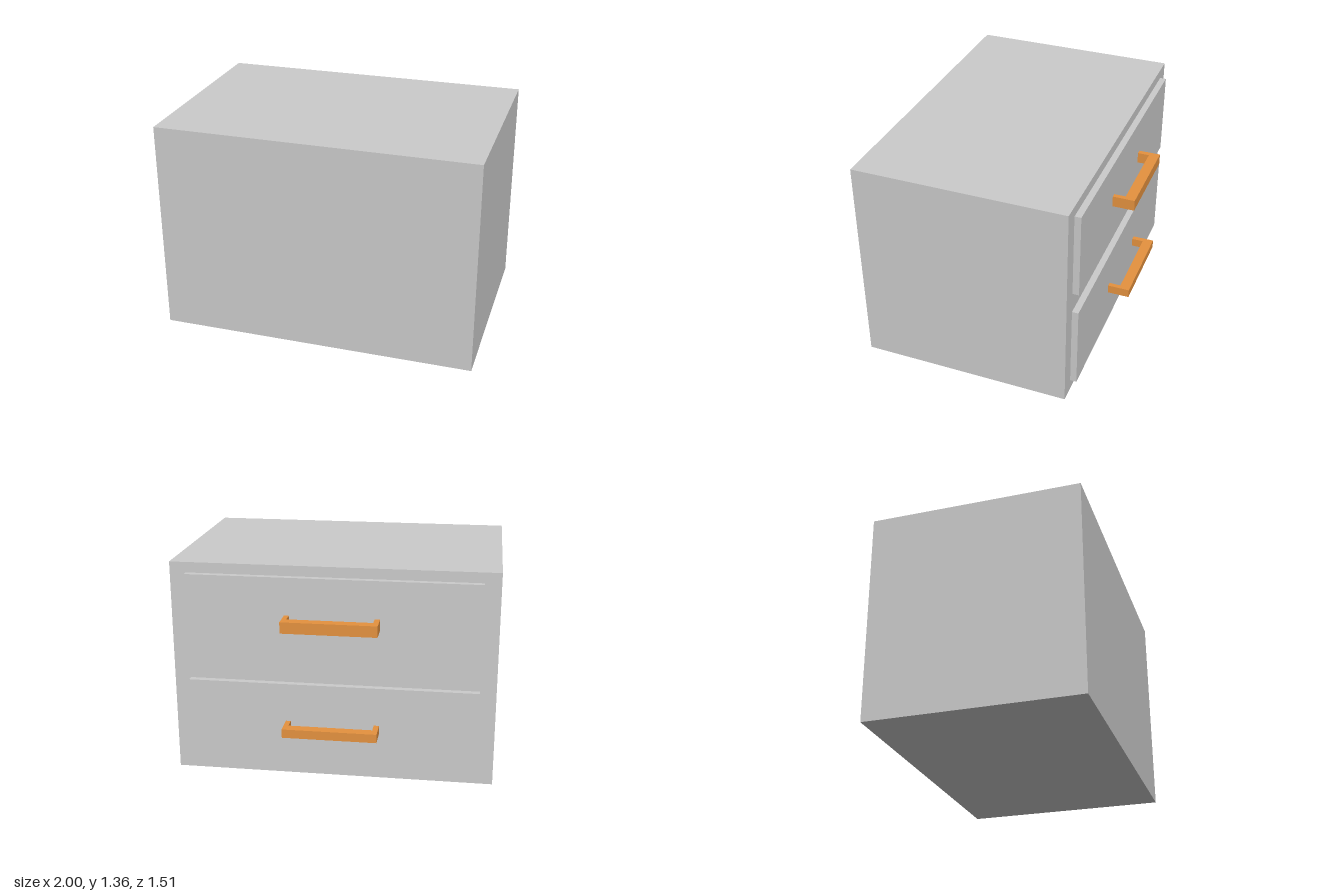
import * as THREE from 'three';

const grey = new THREE.MeshStandardMaterial({ color: 0xcccccc });
const wood = new THREE.MeshStandardMaterial({ color: 0xe5923f });

// Box given by its lower and upper corner
function block(name, [x0, y0, z0], [x1, y1, z1]) {
  const mesh = new THREE.Mesh(new THREE.BoxGeometry(x1 - x0, y1 - y0, z1 - z0), grey);
  mesh.position.set((x0 + x1) / 2, (y0 + y1) / 2, (z0 + z1) / 2);
  mesh.name = name;
  return mesh;
}

// U-shaped pull: outline in x and outward depth, extruded upwards
function pull(name, y, height, undersideMaterial) {
  const outline = [
    [-0.293, 0.617], [-0.26, 0.617], [-0.26, 0.69], [0.26, 0.69],
    [0.26, 0.617], [0.29, 0.617], [0.29, 0.755], [-0.293, 0.755],
  ];
  const shape = new THREE.Shape(outline.map(([x, d]) => new THREE.Vector2(x, d)));
  const geometry = new THREE.ExtrudeGeometry(shape, { depth: height, bevelEnabled: false });
  geometry.rotateX(-Math.PI / 2);

  // The first lid is the underside and has its own material
  const lid = geometry.groups[0].count / 2;
  geometry.clearGroups();
  geometry.addGroup(0, lid, 0);
  geometry.addGroup(lid, geometry.attributes.position.count - lid, 1);

  const mesh = new THREE.Mesh(geometry, [undersideMaterial, wood]);
  mesh.position.y = y;
  mesh.name = name;
  return mesh;
}

export function createModel() {
  const model = new THREE.Group();
  model.name = 'drawerCabinet';

  model.add(block('cabinetBody', [-1, 0, -0.577], [1, 1.355, 0.755]));

  // Two drawers with their pulls on the -z side
  const drawers = [
    { name: 'lowerDrawer', y0: 0.07, y1: 0.613, pullY: 0.314, pullHeight: 0.055, underside: grey },
    { name: 'upperDrawer', y0: 0.748, y1: 1.29, pullY: 0.985, pullHeight: 0.07, underside: wood },
  ];
  for (const d of drawers) {
    const drawer = new THREE.Group();
    drawer.name = d.name;
    drawer.add(
      block('drawerFront', [-0.9, d.y0, -0.617], [0.9, d.y1, -0.577]),
      pull('drawerHandle', d.pullY, d.pullHeight, d.underside),
    );
    model.add(drawer);
  }
  return model;
}
